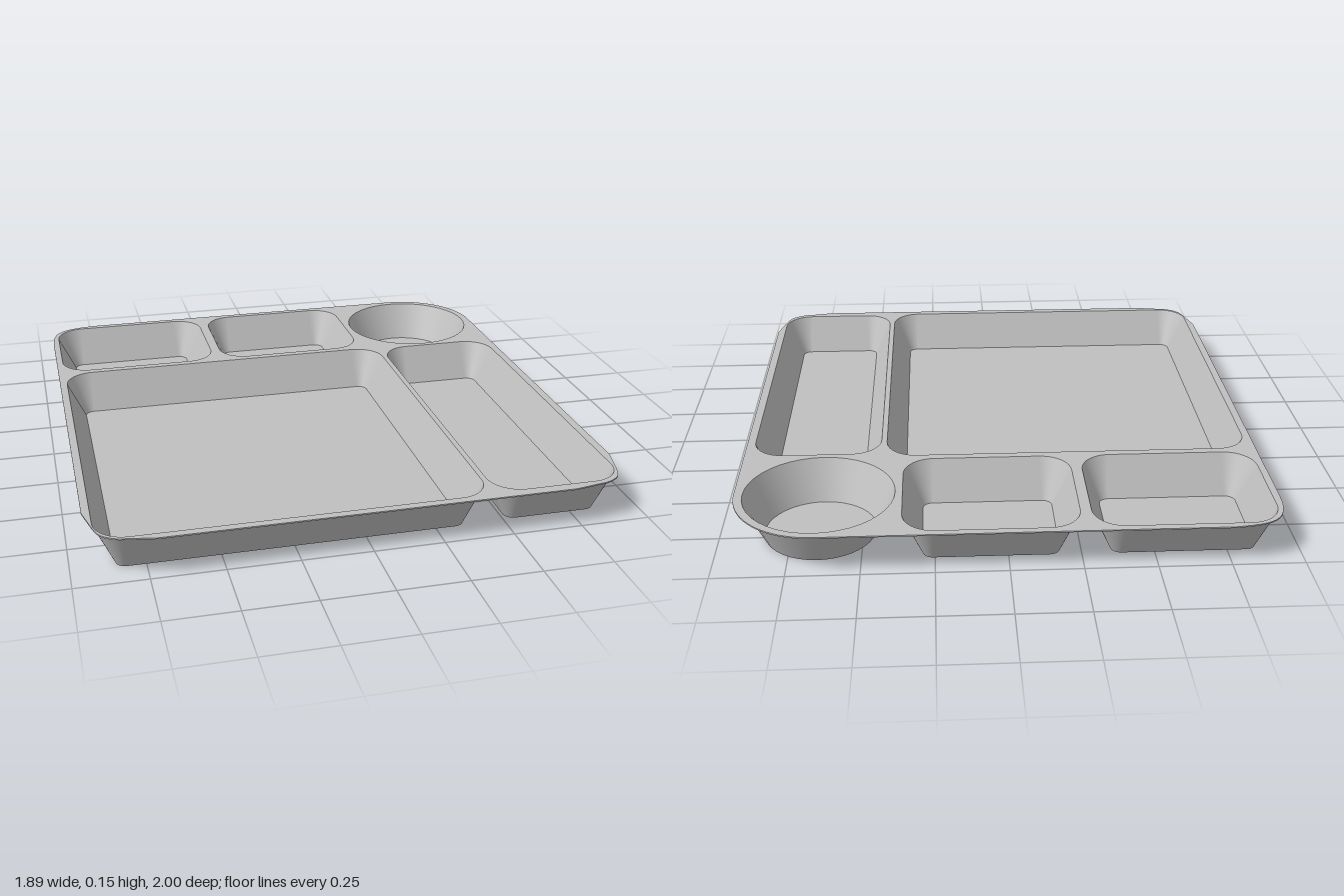
import * as THREE from 'three';

const TOP = 0.148, RIM = 0.005, SLOPE = 0.068, STEPS = 10;

// Rounded rectangle as a counter-clockwise loop of points (x, -z)
function roundedLoop(x0, x1, z0, z1, r) {
  const pts = [];
  const isRound = r >= (x1 - x0) / 2 - 1e-6;
  const centres = [[x1 - r, -z0 - r], [x0 + r, -z0 - r], [x0 + r, -z1 + r], [x1 - r, -z1 + r]];
  centres.forEach(([cx, cy], k) => {
    for (let i = 0; i <= STEPS - (isRound ? 1 : 0); i++) {
      const a = (k + i / STEPS) * Math.PI / 2;
      pts.push(new THREE.Vector2(cx + r * Math.cos(a), cy + r * Math.sin(a)));
    }
  });
  return pts;
}

// Sloped wall between an upper loop and a lower loop, facing inwards
function wallGeometry(upper, lower) {
  const n = upper.length, pos = [], idx = [];
  upper.forEach(p => pos.push(p.x, TOP, -p.y));
  lower.forEach(p => pos.push(p.x, 0, -p.y));
  for (let i = 0; i < n; i++) {
    const j = (i + 1) % n;
    idx.push(i, j, n + i, j, n + j, n + i);
  }
  const g = new THREE.BufferGeometry();
  g.setAttribute('position', new THREE.Float32BufferAttribute(pos, 3));
  g.setIndex(idx);
  g.computeVertexNormals();
  return g;
}

export function createModel() {
  const group = new THREE.Group();
  const grey = new THREE.MeshStandardMaterial({ color: 0xc0c0c0, side: THREE.DoubleSide });
  grey.name = 'tray grey';
  const add = (name, geometry, parent) => {
    const mesh = new THREE.Mesh(geometry, grey);
    mesh.name = name;
    parent.add(mesh);
  };

  // Compartments: name, x range, z range, upper and lower corner radius
  const compartments = [
    ['backLeftCompartment', -0.92, -0.283, -0.974, -0.47, 0.11, 0.035],
    ['backMiddleCompartment', -0.245, 0.36, -0.974, -0.47, 0.11, 0.035],
    ['cupCompartment', 0.385, 0.915, -0.972, -0.442, 0.265, 0.197],
    ['mainCompartment', -0.917, 0.424, -0.44, 0.97, 0.11, 0.035],
    ['sideCompartment', 0.444, 0.915, -0.42, 0.961, 0.11, 0.035],
  ];

  // Rim outline with softened corners
  const front = [[0.72, 1], [0.8, 0.985], [0.85, 0.975], [0.895, 0.945], [0.915, 0.9], [0.928, 0.85], [0.945, 0.78]];
  const back = [[-0.945, -0.8], [-0.94, -0.87], [-0.92, -0.93], [-0.88, -0.97], [-0.82, -0.99], [-0.75, -1]];
  const smooth = pts => new THREE.SplineCurve(pts.map(([x, z]) => new THREE.Vector2(x, -z))).getPoints(24);
  const cupCorner = [];
  for (let i = 0; i <= 20; i++) {
    const a = (1 - i / 20) * Math.PI / 2;
    cupCorner.push(new THREE.Vector2(0.65 + 0.295 * Math.cos(a), 0.705 + 0.295 * Math.sin(a)));
  }
  const outline = [
    ...smooth(back), ...cupCorner,
    ...smooth([...front].reverse()), ...smooth(front.map(([x, z]) => [-x, z])),
  ];
  const rim = new THREE.Shape(outline);

  for (const [name, x0, x1, z0, z1, r, floorR] of compartments) {
    const upper = roundedLoop(x0, x1, z0, z1, r);
    const lower = roundedLoop(x0 + SLOPE, x1 - SLOPE, z0 + SLOPE, z1 - SLOPE, floorR);
    rim.holes.push(new THREE.Path(upper));
    const part = new THREE.Group();
    part.name = name;
    add('wall', wallGeometry(upper, lower), part);
    add('floor', new THREE.ShapeGeometry(new THREE.Shape(lower)).rotateX(-Math.PI / 2), part);
    group.add(part);
  }

  // Thin flat rim joining all compartments
  const rimGeometry = new THREE.ExtrudeGeometry(rim, { depth: RIM, bevelEnabled: false });
  rimGeometry.rotateX(-Math.PI / 2).translate(0, TOP - RIM, 0);
  add('rim', rimGeometry, group);

  return group;
}
